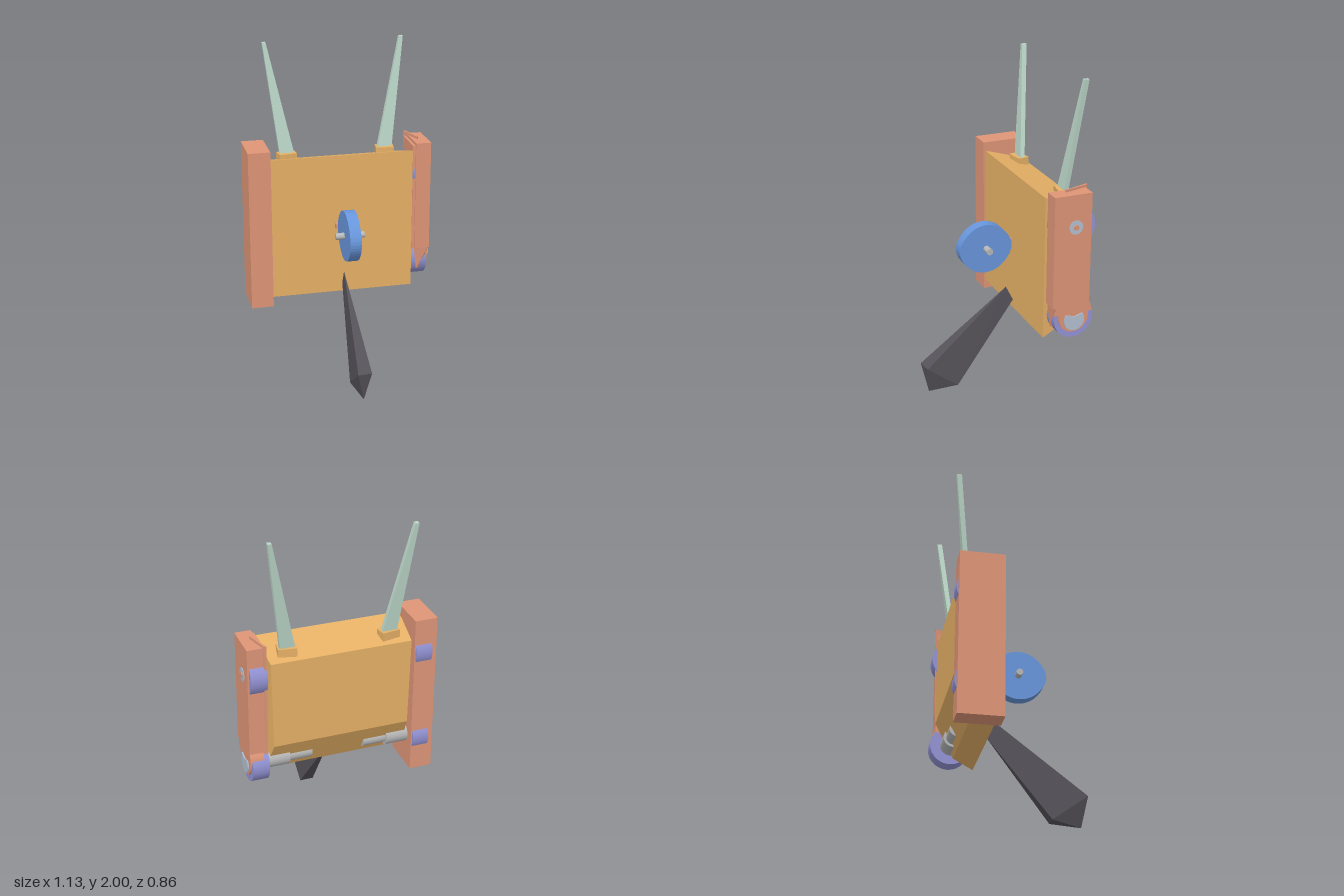
import * as THREE from 'three';
import { ConvexGeometry } from 'three/addons/geometries/ConvexGeometry.js';

const mat = (name, color) => {
  const m = new THREE.MeshStandardMaterial({ color });
  m.name = name;
  return m;
};

export function createModel() {
  const root = new THREE.Group();
  const ochre = mat('ochre', 0xe8b267);
  const terracotta = mat('terracotta', 0xdf9678);
  const blue = mat('blue', 0x6896dc);
  const violet = mat('violet', 0x9494d6);
  const steel = mat('steel', 0xb4c0d2);
  const grey = mat('grey', 0xb8b8b8);
  const sage = mat('sage', 0xbdd8ca);
  const charcoal = mat('charcoal', 0x56525a);

  const add = (name, geo, material) => {
    const m = new THREE.Mesh(geo, material);
    m.name = name;
    root.add(m);
    return m;
  };
  // Box given by its limits on each axis
  const box = (name, [x0, x1], [y0, y1], [z0, z1], material) =>
    add(name, new THREE.BoxGeometry(x1 - x0, y1 - y0, z1 - z0)
      .translate((x0 + x1) / 2, (y0 + y1) / 2, (z0 + z1) / 2), material);
  // Cylinder lying along x
  const rod = (name, r, x0, x1, y, z, material, sides = 28) =>
    add(name, new THREE.CylinderGeometry(r, r, x1 - x0, sides)
      .rotateZ(Math.PI / 2).translate((x0 + x1) / 2, y, z), material);
  // Side profile of [z, y] points, extruded along x
  const profile = (name, pts, x0, x1, material) => {
    const shape = new THREE.Shape(pts.map(([z, y]) => new THREE.Vector2(-z, y)));
    const g = new THREE.ExtrudeGeometry(shape, { depth: x1 - x0, bevelEnabled: false });
    return add(name, g.rotateY(Math.PI / 2).translate(x0, 0, 0), material);
  };
  const hull = (name, pts, material) =>
    add(name, new ConvexGeometry(pts.map(p => new THREE.Vector3(...p))), material);
  // Arc of [z, y] points
  const arc = (z, y, r, a0, a1, n = 24) => Array.from({ length: n + 1 }, (_, i) => {
    const a = a0 + (a1 - a0) * i / n;
    return [z - r * Math.cos(a), y + r * Math.sin(a)];
  });

  // Body narrowing to the back, with a sloping top and underside
  hull('body', [-1, 1].flatMap(s => [
    [s * 0.44, 0.468, -0.167], [s * 0.44, 1.345, -0.167],
    [s * 0.42, 1.275, -0.405], [s * 0.41, 0.74, -0.405], [s * 0.43, 0.53, -0.29],
  ]), ochre);

  // Closed track cover on the right, damaged one on the left
  box('rightTrackCover', [-0.57, -0.435], [0.41, 1.4], [-0.418, -0.155], terracotta);
  box('leftTrackCover', [0.462, 0.556], [0.705, 1.385], [-0.402, -0.172], terracotta);
  box('leftInnerPlate', [0.445, 0.463], [0.7, 1.37], [-0.4, -0.18], terracotta);
  hull('leftCoverSplinter', [
    [0.447, 1.4, -0.415], [0.46, 1.4, -0.415], [0.495, 1.4, -0.26], [0.5, 1.4, -0.265],
    [0.447, 0.8, -0.408], [0.46, 0.8, -0.408],
  ], terracotta);
  profile('leftCoverRim', arc(-0.303, 0.655, 0.116, 0, Math.PI), 0.475, 0.556, terracotta);
  rod('leftWheelFace', 0.094, 0.5, 0.554, 0.632, -0.305, terracotta);
  hull('leftLowerSplinter', [
    [0.46, 0.71, -0.18], [0.556, 0.71, -0.18], [0.556, 0.72, -0.26],
    [0.48, 0.56, -0.19], [0.5, 0.56, -0.2], [0.545, 0.58, -0.25],
  ], terracotta);

  // Wheels and axles
  for (const s of [-1, 1]) {
    const x0 = s > 0 ? 0.445 : -0.542;
    const side = s > 0 ? 'left' : 'right';
    rod(side + 'UpperWheel', 0.127, x0, x0 + 0.1, 1.19, -0.303, violet);
    rod(side + 'LowerWheel', 0.122, x0, x0 + 0.1, 0.62, -0.308, violet);
    const span = (a, b) => (s > 0 ? [a, b] : [-b, -a]);
    rod(side + 'Axle', 0.06, ...span(0.3, 0.53), 0.615, -0.308, grey);
    rod(side + 'AxleTip', 0.044, ...span(0.16, 0.31), 0.615, -0.308, grey);
  }
  rod('upperHubRing', 0.042, 0.5, 0.559, 1.19, -0.305, steel);
  rod('upperHubPin', 0.016, 0.5, 0.565, 1.19, -0.305, terracotta, 12);
  profile('lowerHub', [...arc(-0.308, 0.612, 0.064, -Math.PI * 1.2, Math.PI * 0.2), [-0.31, 0.635]], 0.53, 0.561, steel);

  // Front cam disc with two soft lobes, its shaft and peg
  const cam = Array.from({ length: 48 }, (_, i) => {
    const a = i / 48 * Math.PI * 2;
    const r = 0.153 + 0.013 * Math.pow(Math.cos(a), 8);
    return [0.025 - r * Math.cos(a), 0.905 + r * Math.sin(a)];
  });
  profile('camDisc', cam, -0.033, 0.035, blue);
  rod('camShaft', 0.02, -0.085, 0.09, 0.905, 0.022, grey, 20);
  box('camPeg', [-0.045, -0.015], [0.89, 0.92], [-0.17, -0.14], terracotta);

  // Dark tapering foot
  hull('foot', [
    [0, 0.615, -0.12], [0, 0.52, -0.168],
    [-0.042, 0.18, 0.425], [0.045, 0.175, 0.41],
    [-0.042, 0.028, 0.215], [0.043, 0.028, 0.215], [0, 0, 0.39],
  ], charcoal);

  // Tapering antennae in sockets that level the sloping top
  for (const s of [-1, 1]) {
    const side = s > 0 ? 'left' : 'right';
    const pts = [];
    for (const z of [-0.325, -0.352]) pts.push([s * 0.258, 1.32, z], [s * 0.348, 1.32, z]);
    for (const z of [-0.395, -0.425]) pts.push([s * 0.408, 2, z], [s * 0.43, 2, z]);
    hull(side + 'Antenna', pts, sage);
    const socket = box(side + 'AntennaSocket', [-0.055, 0.055], [1.25, 1.335], [-0.035, 0.035], ochre);
    socket.position.set(s * 0.305, 0, -0.335);
    socket.rotation.y = -s * 0.15;
  }
  return root;
}
